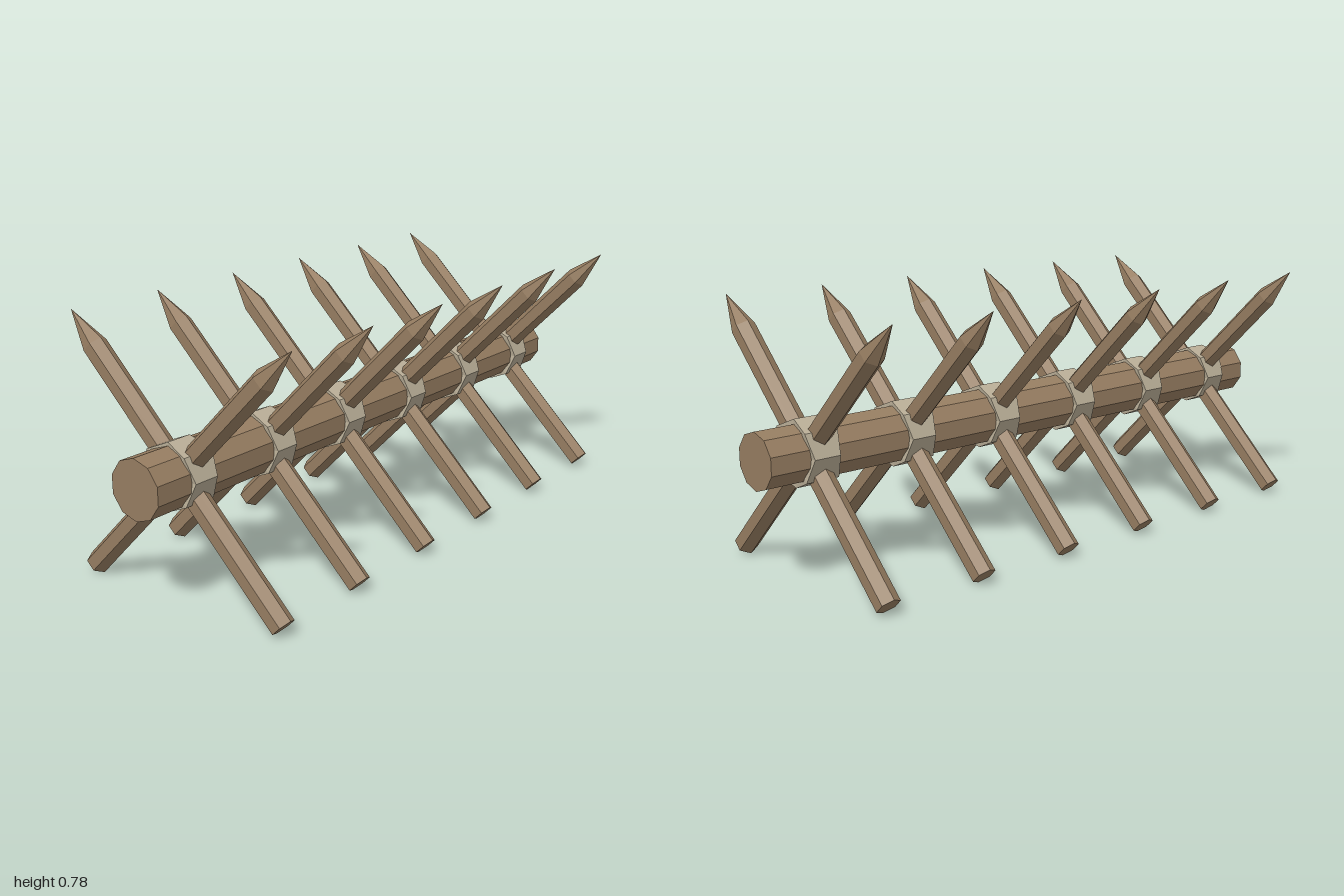
import * as THREE from 'three';

const AXIS_Y = 0.38;

export function createModel() {
  const wood = new THREE.MeshStandardMaterial({ color: 0x967d61, flatShading: true });
  wood.name = 'wood';
  const binding = new THREE.MeshStandardMaterial({ color: 0xb8ad96, flatShading: true });
  binding.name = 'binding';

  const root = new THREE.Group();
  root.name = 'spikedBarricade';

  function add(name, geometry, material, x = 0) {
    const mesh = new THREE.Mesh(geometry, material);
    mesh.name = name;
    mesh.position.set(x, AXIS_Y, 0);
    root.add(mesh);
    return mesh;
  }

  // Ten-sided log, slightly thinner towards +x
  const log = new THREE.CylinderGeometry(0.083, 0.088, 2, 10, 1, false, Math.PI / 2);
  log.rotateZ(-Math.PI / 2);
  add('log', log, wood);

  // Eight-sided binding, widest where the stakes pass through
  const wrap = new THREE.CylinderGeometry(0.098, 0.098, 0.106, 8);
  const p = wrap.attributes.position;
  for (let i = 0; i < p.count; i++) {
    const onAxis = Math.min(Math.abs(p.getX(i)), Math.abs(p.getZ(i))) < 0.01;
    if (onAxis) p.setY(i, p.getY(i) * 0.78);
  }
  wrap.rotateZ(-Math.PI / 2);

  // Hexagonal stake with a sharpened upper end
  const stake = new THREE.LatheGeometry([
    new THREE.Vector2(0, -0.499),
    new THREE.Vector2(0.0355, -0.499),
    new THREE.Vector2(0.0355, 0.436),
    new THREE.Vector2(0, 0.564),
  ], 6);

  // Six crossed pairs along the log
  for (let i = 0; i < 6; i++) {
    const x = (i - 2.5) / 3;
    add('binding', wrap, binding, x);
    for (const side of [1, -1]) {
      const name = side > 0 ? 'stakePointingForward' : 'stakePointingBack';
      add(name, stake, wood, x).rotation.x = side * Math.PI / 4;
    }
  }
  return root;
}
